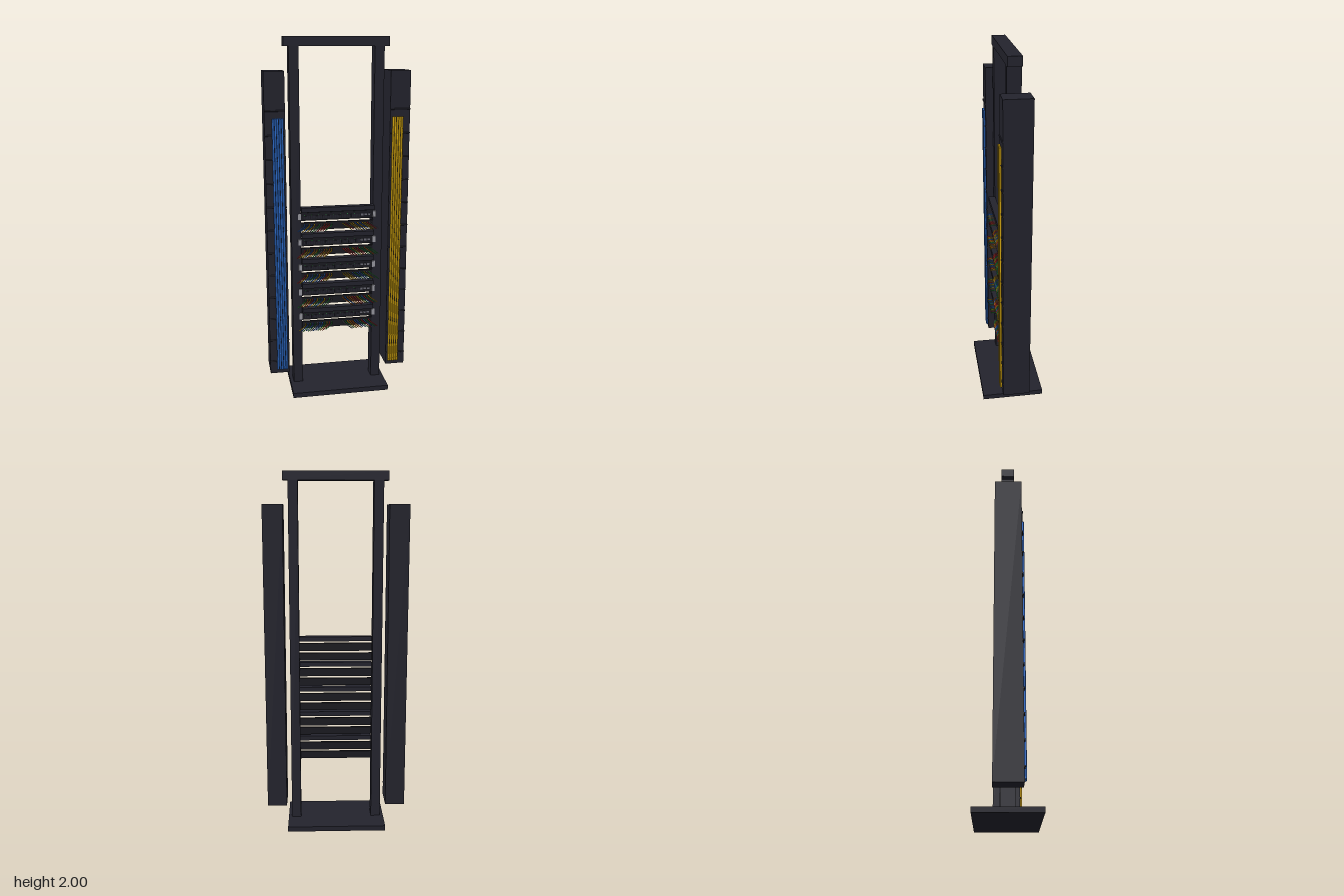
import * as THREE from 'three';

const mat = (name, color) => {
  const m = new THREE.MeshStandardMaterial({ color });
  m.name = name;
  return m;
};

export function createModel() {
  const root = new THREE.Group();
  root.name = 'cableRack';
  const frame = mat('frameCharcoal', 0x23232d);
  const panel = mat('panelBlack', 0x1a1a20);
  const silver = mat('silver', 0x9a9aa2);
  const blue = mat('cableBlue', 0x2f6fd0);
  const yellow = mat('cableYellow', 0xd9aa10);
  const green = mat('cableGreen', 0x2f9e44);
  const red = mat('cableRed', 0xc8322f);
  const orange = mat('cableOrange', 0xe0761c);
  const grey = mat('cableGrey', 0x6c6c76);

  const add = (name, geo, material, parent = root) => {
    const m = new THREE.Mesh(geo, material);
    m.name = name;
    parent.add(m);
    return m;
  };
  // box given by its limits on each axis
  const box = (name, x0, x1, y0, y1, z0, z1, material, parent) => {
    const g = new THREE.BoxGeometry(x1 - x0, y1 - y0, z1 - z0);
    g.translate((x0 + x1) / 2, (y0 + y1) / 2, (z0 + z1) / 2);
    return add(name, g, material, parent);
  };
  // mirrored box: s is the side, +1 or -1
  const sideBox = (name, s, a, b, ...rest) =>
    box(name, Math.min(s * a, s * b), Math.max(s * a, s * b), ...rest);

  // main frame
  box('basePlate', -0.277, 0.277, 0, 0.028, -0.175, 0.175, frame);
  box('topBar', -0.286, 0.286, 1.95, 2, -0.037, 0.037, frame);

  for (const s of [-1, 1]) {
    sideBox('post', s, 0.205, 0.258, 0.028, 1.95, -0.037, 0.037, frame);
    sideBox('cableDuct', s, 0.286, 0.396, 0.115, 1.825, -0.075, 0.075, frame);
    // retaining bars across the duct front
    for (let i = 0; i < 12; i++) {
      const g = new THREE.CylinderGeometry(0.004, 0.004, 0.11, 8);
      g.rotateZ(Math.PI / 2).translate(s * 0.341, 1.62 - i * 0.13, 0.077);
      add('ductBar', g, frame);
    }
    // vertical cable bundle
    for (let i = 0; i < 5; i++) {
      const g = new THREE.CylinderGeometry(0.0058, 0.0058, 1.44, 8);
      g.translate(s * (0.302 + i * 0.0122), 0.86, 0.082);
      add('trunkCable', g, s > 0 ? yellow : blue);
    }
  }

  // rack units: cover bar, switch panel, patch panel with fanned cables
  const cableMats = [green, red, blue, orange, yellow, green, grey, blue, red, yellow];
  let seed = 7;
  const rand = () => (seed = (seed * 16807) % 2147483647) / 2147483647;

  for (let u = 0; u < 5; u++) {
    const unit = new THREE.Group();
    unit.name = 'rackUnit';
    unit.position.y = 0.441 + u * 0.1475;
    root.add(unit);

    box('coverBar', -0.205, 0.205, 0.032, 0.058, 0.035, 0.075, frame, unit);
    box('switchPanel', -0.205, 0.205, -0.022, 0.023, 0.027, 0.041, panel, unit);
    box('patchPanel', -0.205, 0.205, -0.076, -0.034, 0.027, 0.041, panel, unit);
    for (const s of [-1, 1])
      sideBox('mountingEar', s, 0.204, 0.221, -0.018, 0.018, 0.037, 0.045, silver, unit);
    for (let i = 0; i < 3; i++)
      box('uplinkPort', 0.135 + i * 0.02, 0.149 + i * 0.02, -0.005, 0.005, 0.04, 0.043, grey, unit);

    for (let i = 0; i < 24; i++) {
      const t = (i - 11.5) / 11.5;
      const s = Math.sign(t);
      const x = s * 0.025 + t * 0.16;
      // switch port and status light
      box('port', i * 0.0135 - 0.19, i * 0.0135 - 0.18, -0.012, 0.004, 0.04, 0.043, frame, unit);
      if (i % 3 === 0)
        box('statusLight', i * 0.0135 - 0.187, i * 0.0135 - 0.183, 0.008, 0.011, 0.04, 0.043, green, unit);
      // patch cable drooping outward
      const k = 0.6 + 0.4 * rand();
      const path = new THREE.CatmullRomCurve3([
        new THREE.Vector3(x, -0.046, 0.038),
        new THREE.Vector3(x + s * 0.004, -0.047, 0.068),
        new THREE.Vector3(x + s * 0.02, -0.056, 0.081),
        new THREE.Vector3(x + s * (0.03 + 0.02 * k), -0.06 - 0.02 * k, 0.081),
      ]);
      const c = cableMats[Math.floor(rand() * cableMats.length)];
      const m = add('patchCable', new THREE.TubeGeometry(path, 8, 0.0028, 6), c, unit);
      m.material.side = THREE.DoubleSide;
    }
  }
  return root;
}
